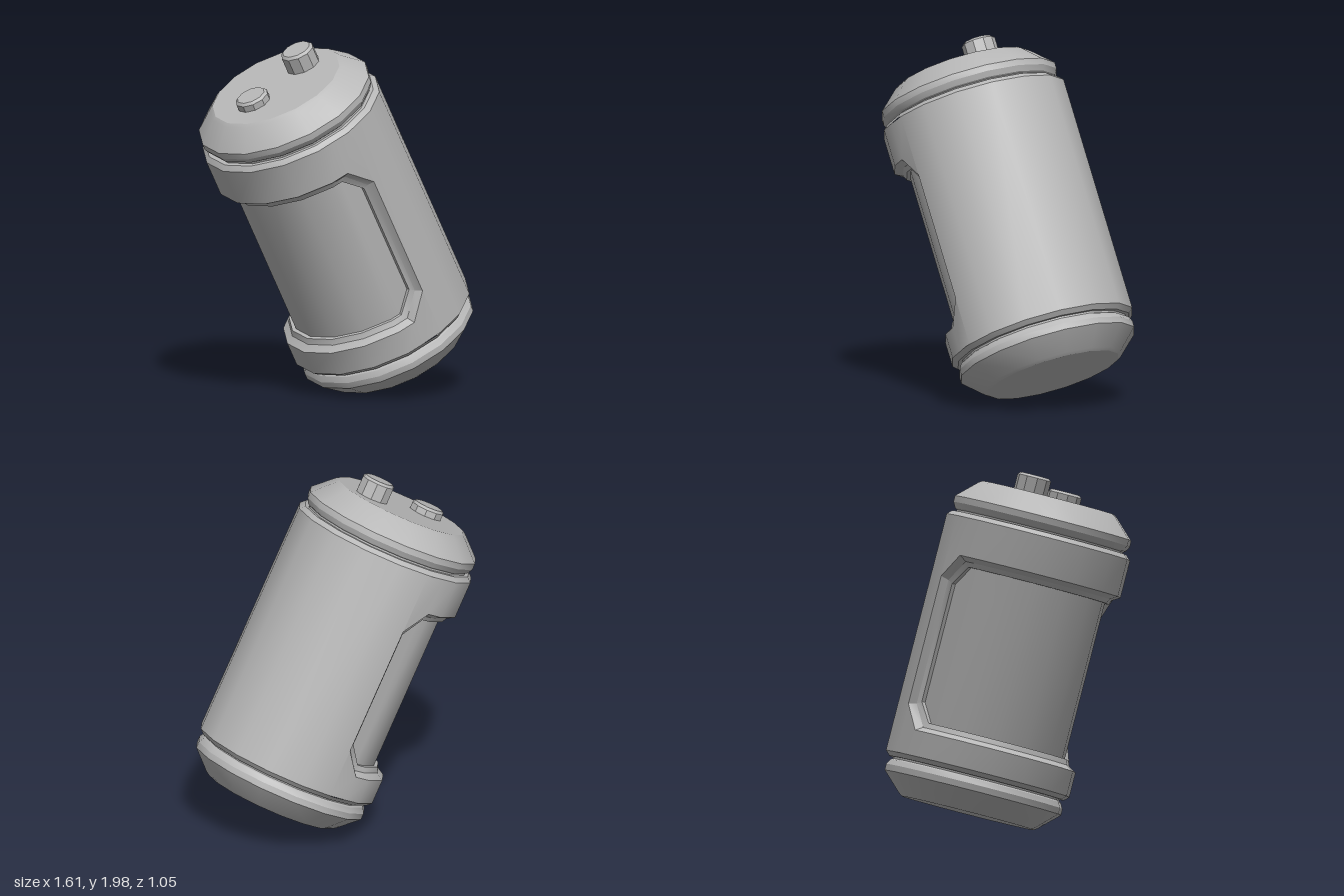
import * as THREE from 'three';
import { toCreasedNormals } from 'three/addons/utils/BufferGeometryUtils.js';

const CREASE = 0.45, SIDES = 16, STEP = 360 / SIDES;
const rad = THREE.MathUtils.degToRad;

// Point on the 16-sided barrel; angle 0 faces the window (-x)
function barrelPoint(radius, deg, y) {
  const off = ((deg % STEP) + STEP) % STEP - STEP / 2;
  const r = radius * Math.cos(rad(STEP / 2)) / Math.cos(rad(off));
  return [-r * Math.cos(rad(deg)), y, r * Math.sin(rad(deg))];
}

// Collects quads and turns them into a softly shaded geometry
function quadGeometry(quads) {
  const pos = quads.flatMap(([a, b, c, d]) => [a, b, c, a, c, d].flat());
  const g = new THREE.BufferGeometry();
  g.setAttribute('position', new THREE.Float32BufferAttribute(pos, 3));
  return toCreasedNormals(g, CREASE);
}

// Columns of a chamfered window outline: [angle, low, high]
function windowColumns({ span, corner, low, high, cut }) {
  const inner = [-3, -2, -1, 0, 1, 2, 3].map(k => k * STEP);
  return [-span, -corner, ...inner, corner, span].map(a =>
    Math.abs(a) === span ? [a, low + cut, high - cut] : [a, low, high]);
}

function windowLoop(w) {
  const cols = windowColumns(w);
  return [
    ...cols.map(([a, lo]) => barrelPoint(w.radius, a, lo)),
    ...cols.reverse().map(([a, , hi]) => barrelPoint(w.radius, a, hi)),
  ];
}

function strip(radius, [a0, lo0, hi0], [a1, lo1, hi1]) {
  return [barrelPoint(radius, a0, lo0), barrelPoint(radius, a1, lo1),
    barrelPoint(radius, a1, hi1), barrelPoint(radius, a0, hi0)];
}

function lathe(points, sides) {
  return toCreasedNormals(new THREE.LatheGeometry(
    points.map(([r, y]) => new THREE.Vector2(r, y)), sides), CREASE);
}

export function createModel() {
  const grey = new THREE.MeshStandardMaterial({ color: 0xb8b8b8 });
  const group = new THREE.Group();
  const add = (name, geometry) => {
    const mesh = new THREE.Mesh(geometry, grey);
    mesh.name = name;
    group.add(mesh);
    return mesh;
  };

  // Window outlines, stepping inwards
  const HALF = 0.67, R = 0.523;
  const outer = { radius: R, span: 92.5, corner: 79, low: -0.53, high: 0.46, cut: 0.133 };
  const ledge = { radius: 0.481, span: 90, corner: 77.5, low: -0.505, high: 0.435, cut: 0.12 };
  const step = { radius: 0.468, span: 87.5, corner: 75, low: -0.475, high: 0.408, cut: 0.107 };
  const floor = { ...step, radius: 0.446 };

  // Outer shell with the window left open
  const shell = [];
  const cols = windowColumns(outer);
  for (let i = 0; i + 1 < cols.length; i++) {
    const [a0, lo0, hi0] = cols[i], [a1, lo1, hi1] = cols[i + 1];
    shell.push(strip(R, [a0, -HALF, lo0], [a1, -HALF, lo1]));
    shell.push(strip(R, [a0, hi0, HALF], [a1, hi1, HALF]));
  }
  const back = [outer.span];
  for (let k = 5; k <= 11; k++) back.push(k * STEP);
  back.push(360 - outer.span);
  for (let i = 0; i + 1 < back.length; i++)
    shell.push(strip(R, [back[i], -HALF, HALF], [back[i + 1], -HALF, HALF]));
  add('shell', quadGeometry(shell));

  // Stepped window frame
  const loops = [outer, ledge, step, floor].map(windowLoop);
  const frame = [];
  for (let k = 0; k < 3; k++) {
    const a = loops[k], b = loops[k + 1];
    a.forEach((p, i) => {
      const j = (i + 1) % a.length;
      frame.push([p, a[j], b[j], b[i]]);
    });
  }
  add('windowFrame', quadGeometry(frame));

  // Recessed panel
  const panel = windowColumns(floor);
  add('windowPanel', quadGeometry(panel.slice(1).map((c, i) => strip(floor.radius, panel[i], c))));

  // End caps with bevelled rim and groove
  const cap = [[R, HALF], [0.497, 0.695], [0.474, 0.695], [0.474, 0.705], [0.486, 0.712],
    [0.503, 0.742], [0.503, 0.777], [0.395, 0.88], [0.375, 0.893], [0, 0.893]];
  add('topCap', lathe(cap, SIDES));
  add('bottomCap', lathe(cap.map(([r, y]) => [r, -y]).reverse(), SIDES));

  // Terminals
  for (const [name, x, top] of [['tallTerminal', 0.21, 0.998], ['shortTerminal', -0.17, 0.943]]) {
    const pin = add(name, lathe([[0.095, 0.88], [0.095, top - 0.014], [0.08, top], [0, top]], 10));
    pin.position.x = x;
  }

  // Lean the whole body towards -x
  group.rotation.z = rad(27.5);
  group.position.y = 0.98;
  const model = new THREE.Group();
  group.name = 'battery';
  model.add(group);
  return model;
}
